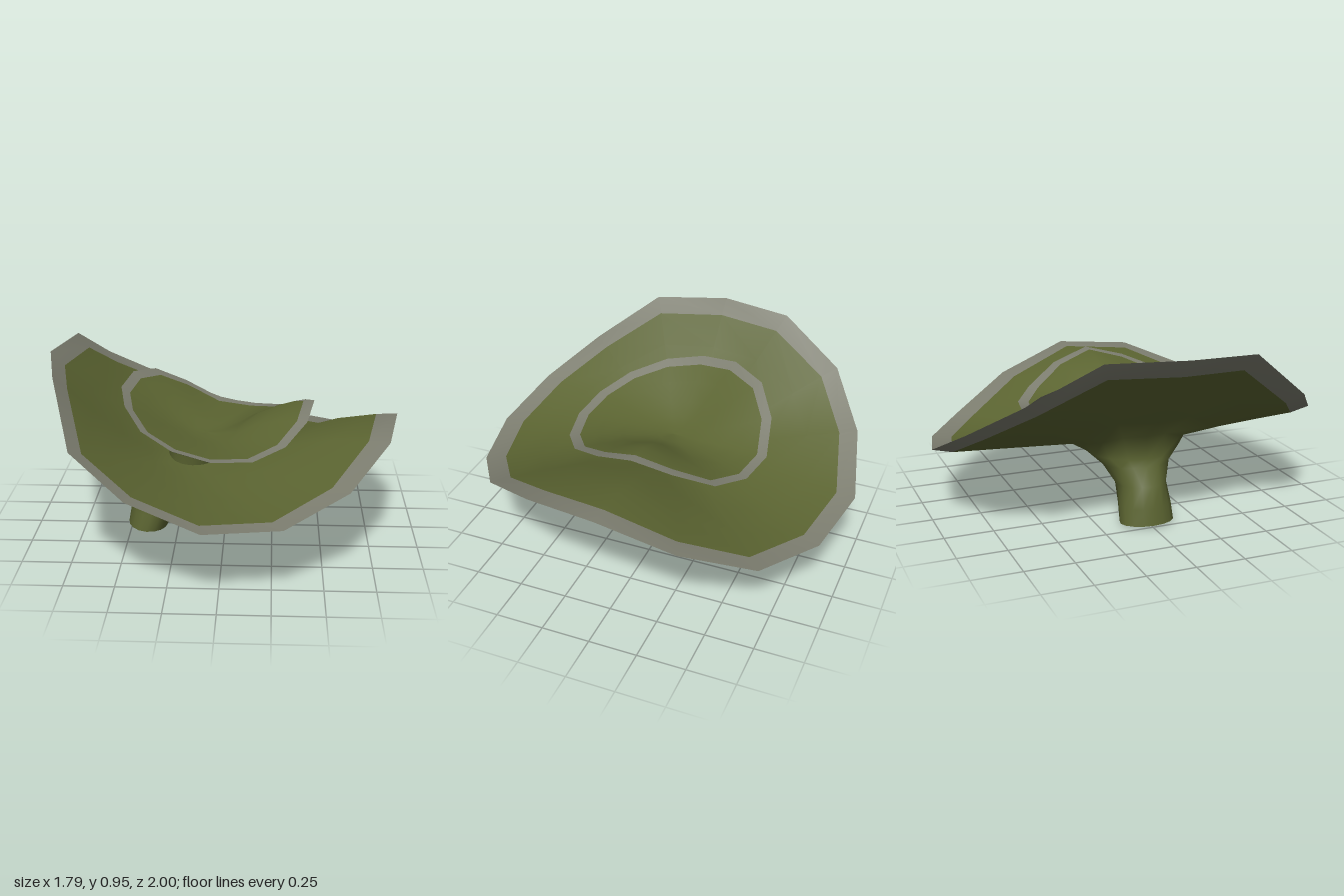
import * as THREE from 'three';

const N = 16;
const moss = new THREE.MeshStandardMaterial({ color: 0x5b6431, side: THREE.DoubleSide });
moss.name = 'mossGreen';
const rimGrey = new THREE.MeshStandardMaterial({ color: 0x7d7e70, side: THREE.DoubleSide });
rimGrey.name = 'rimGrey';

// Rim corners: half outline from +x round to -x, with heights for the +z and -z sides
const CAP = {
  x: [0.89, 0.82, 0.61, 0.30, -0.07, -0.42, -0.70, -0.82, -0.90],
  z: [0, 0.38, 0.71, 0.92, 1.0, 0.91, 0.71, 0.38, 0],
  front: [0.645, 0.62, 0.49, 0.39, 0.40, 0.51, 0.67, 0.93, 0.955],
  back: [0.645, 0.51, 0.36, 0.345, 0.40, 0.57, 0.76, 0.955, 0.955],
  hub: [-0.2, 0.39],
};
const CUP = {
  x: [0.46, 0.42, 0.31, 0.15, -0.05, -0.24, -0.40, -0.50, -0.54],
  z: [0, 0.2, 0.38, 0.49, 0.53, 0.49, 0.38, 0.2, 0],
  front: [0.71, 0.66, 0.59, 0.55, 0.56, 0.60, 0.66, 0.73, 0.77],
  back: [0.71, 0.65, 0.56, 0.53, 0.545, 0.66, 0.76, 0.795, 0.77],
  hub: [-0.1, 0.525],
};

// Rise from hub to rim: [t, rise on the -x side, rise on the +x side]
const RISE = [
  [0, 0, 0], [0.15, 0.04, 0.03], [0.3, 0.14, 0.2], [0.5, 0.34, 0.62],
  [0.72, 0.62, 0.88], [0.9, 0.87, 0.98], [1, 1, 1],
];

// One ring of a dish at row k of the rise table, lowered by drop
function dishRing(d, k, drop = 0) {
  const [t, left, right] = RISE[k];
  return Array.from({ length: N }, (_, j) => {
    const i = j <= 8 ? j : N - j;
    const rimY = (j <= 8 ? d.front : d.back)[i];
    const u = (1 + Math.cos((j / N) * Math.PI * 2)) / 2;
    const f = left + (right - left) * u;
    return [
      d.hub[0] + (d.x[i] - d.hub[0]) * t,
      d.hub[1] + (rimY - d.hub[1]) * f - drop,
      (j <= 8 ? 1 : -1) * d.z[i] * t,
    ];
  });
}

// Elliptical stalk ring; tilt lowers its +x side
function stalkRing([cx, y, rx, rz, tilt = 0]) {
  return Array.from({ length: N }, (_, j) => {
    const a = (j / N) * Math.PI * 2;
    return [cx + rx * Math.cos(a), y - tilt * Math.cos(a), rz * Math.sin(a)];
  });
}

// Skin a stack of rings; the last band is grey when greyRim is set
function loft(name, rings, up, greyRim) {
  const index = [];
  for (let r = 0; r < rings.length - 1; r++) {
    for (let j = 0; j < N; j++) {
      const a = r * N + j, b = r * N + ((j + 1) % N), c = a + N, d = b + N;
      if (up) index.push(a, b, c, b, d, c);
      else index.push(a, c, b, b, c, d);
    }
  }
  const geo = new THREE.BufferGeometry();
  geo.setAttribute('position', new THREE.Float32BufferAttribute(rings.flat(2), 3));
  geo.setIndex(index);
  geo.computeVertexNormals();
  const split = index.length - (greyRim ? N * 6 : 0);
  geo.addGroup(0, split, 0);
  if (greyRim) geo.addGroup(split, N * 6, 1);
  const mesh = new THREE.Mesh(geo, [moss, rimGrey]);
  mesh.name = name;
  return mesh;
}

// Upper skin, and a lower skin growing out of the stalk and meeting at the rim
function dish(name, d, stalk, thick) {
  const g = new THREE.Group();
  g.name = name;
  const rows = [0, 1, 2, 3, 4, 5, 6];
  g.add(loft(name + 'Top', rows.map((k) => dishRing(d, k)), true, true));
  const under = rows.slice(2).map((k) => dishRing(d, k, k === 6 ? 0 : thick));
  g.add(loft(name + 'Underside', [...stalk.map(stalkRing), ...under], false, true));
  return g;
}

export function createModel() {
  const group = new THREE.Group();
  group.name = 'shelfMushroom';

  // Large wavy cap on a leaning stem
  const stem = [
    [-0.415, 0.01, 0.105, 0.14, 0.008],
    [-0.385, 0.10, 0.12, 0.135, 0],
    [-0.335, 0.19, 0.15, 0.125, 0.02],
    [-0.26, 0.28, 0.16, 0.175, 0.01],
    [-0.21, 0.345, 0.21, 0.245, -0.01],
  ];
  group.add(dish('largeCap', CAP, stem, 0.02));

  // Closed stem foot
  group.add(loft('stemFoot', [stalkRing([-0.415, 0.01, 0, 0]), stalkRing(stem[0])], false, false));

  // Small cup rising from the middle of the cap
  const neck = [
    [-0.17, 0.37, 0.13, 0.13],
    [-0.155, 0.44, 0.14, 0.14],
    [-0.14, 0.49, 0.16, 0.155],
  ];
  group.add(dish('smallCup', CUP, neck, 0.018));

  return group;
}
